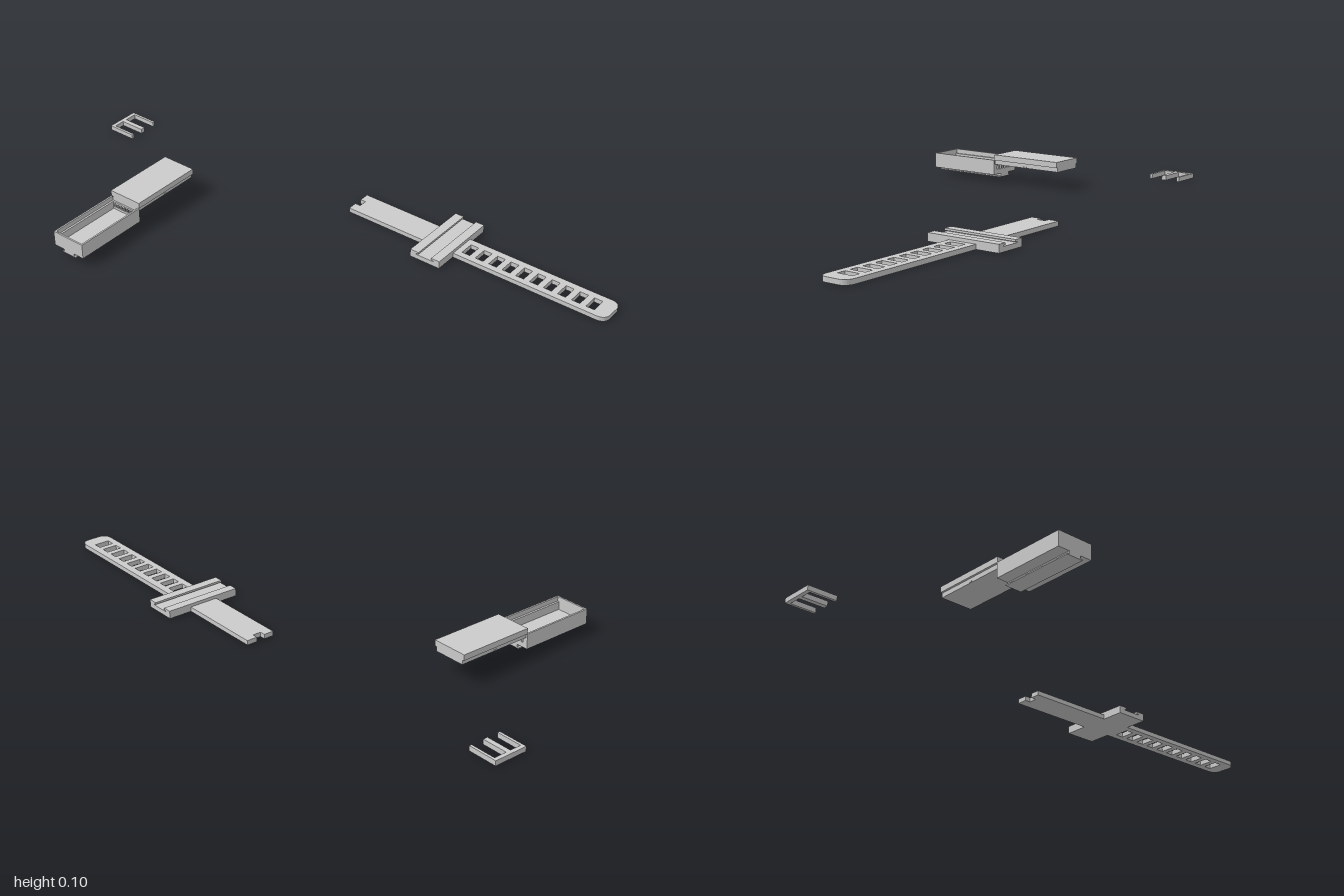
import * as THREE from 'three';

const material = new THREE.MeshStandardMaterial({ color: 0xcccccc, flatShading: true });

function add(parent, name, geometry, x = 0, y = 0, z = 0) {
  const mesh = new THREE.Mesh(geometry, material);
  mesh.name = name;
  mesh.position.set(x, y, z);
  parent.add(mesh);
  return mesh;
}

// box given by its lower and upper limits
function block(parent, name, x0, x1, y0, y1, z0, z1) {
  const g = new THREE.BoxGeometry(x1 - x0, y1 - y0, z1 - z0);
  return add(parent, name, g, (x0 + x1) / 2, (y0 + y1) / 2, (z0 + z1) / 2);
}

const shapeOf = (points) => new THREE.Shape(points.map((p) => new THREE.Vector2(...p)));
const rectPath = (x0, x1, y0, y1) =>
  new THREE.Path([[x0, y0], [x0, y1], [x1, y1], [x1, y0]].map((p) => new THREE.Vector2(...p)));
const extrude = (shape, depth) =>
  new THREE.ExtrudeGeometry(shape, { depth, bevelEnabled: false, curveSegments: 6 });

// (z, y) section swept along x; shape x is measured toward -z
const alongX = (shape, length) => extrude(shape, length).rotateY(Math.PI / 2);

// half section mirrored about its centre line
const mirrored = (half) => shapeOf([...half, ...half.map(([a, b]) => [-a, b]).reverse()]);

function makeStrap() {
  const strap = new THREE.Group();
  strap.name = 'strap';

  // outline in (x, -z): notched tail, rounded tip, adjustment slots
  const s = new THREE.Shape();
  s.moveTo(0.3, -0.01);
  s.lineTo(0.3, -0.97);
  s.quadraticCurveTo(0.302, -0.995, 0.325, -1);
  s.lineTo(0.377, -1);
  s.quadraticCurveTo(0.4, -0.995, 0.402, -0.97);
  s.lineTo(0.402, -0.01);
  for (const p of [[0.365, -0.01], [0.365, -0.03], [0.335, -0.03], [0.335, -0.01]]) s.lineTo(...p);
  for (let i = 0; i < 10; i++) {
    const z = 0.469 + i * 0.0515;
    s.holes.push(rectPath(0.323, 0.377, -z - 0.015, -z + 0.015));
  }
  add(strap, 'strapBand', extrude(s, 0.016).rotateX(-Math.PI / 2));

  // crosswise mount with an undercut channel
  const rail = mirrored([
    [0.057, 0], [0.057, 0.027], [0.025, 0.027], [0.025, 0.02], [0.034, 0.02], [0.034, 0.0165],
  ]);
  add(strap, 'mountRail', alongX(rail, 0.266), 0.219, 0, 0.377);
  return strap;
}

function makeCase() {
  const box = new THREE.Group();
  box.name = 'case';
  const zc = -0.545, x0 = -0.487, x1 = -0.216;

  // open tray with stepped side walls
  const tray = mirrored([
    [0.064, 0.027], [0.064, 0.08], [0.058, 0.08], [0.058, 0.064], [0.051, 0.064], [0.051, 0.036],
  ]);
  add(box, 'tray', alongX(tray, x1 - x0), x0, 0, zc);
  block(box, 'trayEndWall', x0, x0 + 0.006, 0.03, 0.08, zc - 0.06, zc + 0.06);

  // slotted end wall
  const wall = mirrored([[0.055, 0.03], [0.055, 0.064]]);
  for (let i = -3; i <= 3; i++) {
    wall.holes.push(rectPath(i * 0.014 - 0.004, i * 0.014 + 0.004, 0.044, 0.058));
  }
  add(box, 'slottedWall', alongX(wall, 0.006), x1 - 0.006, 0, zc);

  // foot that slides into the mount channel
  const foot = mirrored([
    [0.03, 0.014], [0.03, 0.018], [0.022, 0.018], [0.022, 0.028],
  ]);
  add(box, 'slidingFoot', alongX(foot, x1 - x0), x0, 0, zc);
  return box;
}

function makeLid() {
  const lid = new THREE.Group();
  lid.name = 'lid';
  const zc = -0.545;
  // cover plate with a slightly narrower plug below
  const section = mirrored([[0.057, 0.064], [0.057, 0.08], [0.064, 0.08], [0.064, 0.1]]);
  add(lid, 'cover', alongX(section, 0.271), -0.216, 0, zc);
  for (const side of [-1, 1]) {
    const z = zc + side * 0.057;
    block(lid, 'detent', -0.09, -0.078, 0.065, 0.069, z - 0.002, z + 0.002);
  }
  return lid;
}

function makeClip() {
  const clip = new THREE.Group();
  clip.name = 'clip';
  block(clip, 'clipBar', 0.185, 0.305, 0, 0.017, -1, -0.986);
  block(clip, 'outerProng', 0.185, 0.194, 0, 0.017, -0.988, -0.895);
  block(clip, 'outerProng', 0.296, 0.305, 0, 0.017, -0.988, -0.895);
  block(clip, 'middleProng', 0.234, 0.251, 0, 0.017, -0.988, -0.895);
  return clip;
}

export function createModel() {
  const model = new THREE.Group();
  model.name = 'wristHolder';
  model.add(makeStrap(), makeCase(), makeLid(), makeClip());
  return model;
}
